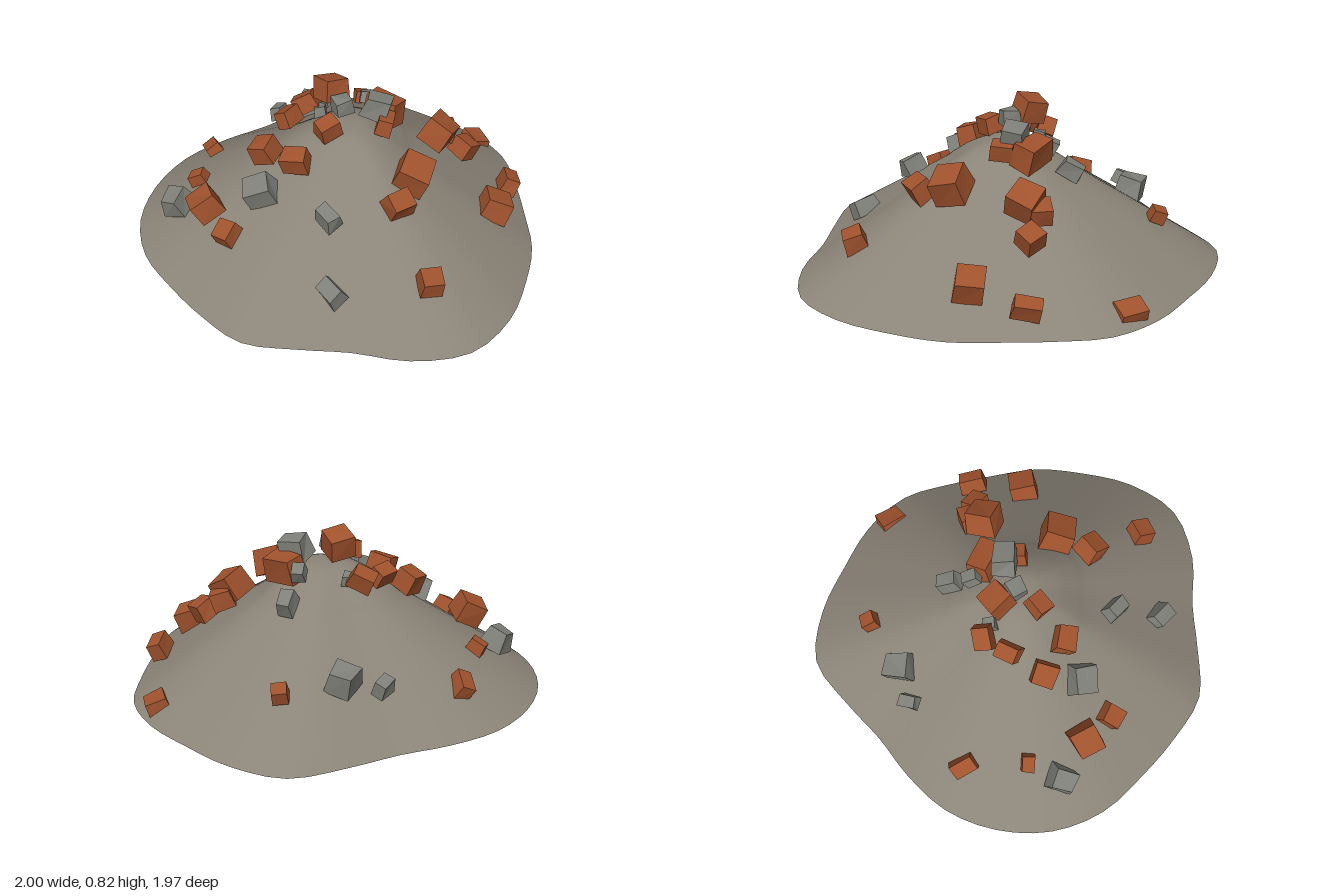
import * as THREE from 'three';

const mat = (name, color, flatShading) => {
  const m = new THREE.MeshStandardMaterial({ color, flatShading });
  m.name = name;
  return m;
};

// Footprint radius every 15 degrees, from the front (+z) round by +x
const RADII = [0.98, 0.925, 0.917, 1.005, 1.07, 1.032, 0.967, 0.932, 0.898, 0.915, 0.972, 0.983,
  0.98, 1.02, 1.044, 0.947, 0.895, 0.93, 0.99, 1.025, 1.04, 1.02, 0.972, 0.963];
// Slope of the heap: fraction of the footprint radius, height
const PROFILE = [[0, 0.64], [0.1, 0.632], [0.2, 0.588], [0.3, 0.52], [0.4, 0.445], [0.8, 0.185], [1, 0.055]];
const BASE_Y = 0.055;

// Rubble: x, y, z, width, depth, yaw in degrees
const BRICKS = [
  [0.32, 0.09, -0.84, 0.14, 0.11, -35],
  [-0.29, 0.29, -0.68, 0.08, 0.08, 40],
  [0.65, 0.18, -0.51, 0.08, 0.14, 28],
  [0.69, 0.24, -0.24, 0.14, 0.14, 30],
  [0.44, 0.4, -0.4, 0.11, 0.11, -15],
  [0.33, 0.48, -0.38, 0.11, 0.11, 40],
  [0.34, 0.52, -0.31, 0.15, 0.15, 3],
  [0.39, 0.53, 0.06, 0.16, 0.16, 12],
  [0.4, 0.48, 0.23, 0.11, 0.13, -30],
  [0.66, 0.27, 0.42, 0.11, 0.11, 42],
  [-0.78, 0.21, 0.02, 0.13, 0.08, -38],
  [-0.67, 0.27, 0.31, 0.09, 0.07, 18],
  [-0.48, 0.34, 0.53, 0.14, 0.14, -38],
  [-0.31, 0.28, 0.6, 0.11, 0.11, -6],
  [-0.31, 0.54, 0.25, 0.12, 0.12, 2],
  [-0.12, 0.57, 0.28, 0.13, 0.1, 14],
  [-0.29, 0.62, 0.06, 0.08, 0.12, -4],
  [-0.27, 0.63, -0.07, 0.12, 0.09, 28],
  [-0.12, 0.77, -0.06, 0.13, 0.13, -30],
  [-0.04, 0.68, 0.12, 0.09, 0.11, -28],
  [0.09, 0.64, -0.2, 0.18, 0.12, -5],
  [0.16, 0.65, -0.08, 0.08, 0.12, 20],
];
const STONES = [
  [-0.46, 0.32, -0.45, 0.14, 0.15, 15],
  [-0.6, 0.29, -0.34, 0.08, 0.11, 5],
  [-0.04, 0.54, -0.34, 0.08, 0.13, 20],
  [-0.02, 0.65, -0.23, 0.07, 0.09, 30],
  [0.1, 0.71, -0.11, 0.14, 0.14, 15],
  [-0.03, 0.74, 0, 0.1, 0.1, -40],
  [-0.19, 0.61, -0.07, 0.07, 0.07, 30],
  [-0.23, 0.44, 0.42, 0.16, 0.14, 28],
  [-0.68, 0.25, 0.49, 0.13, 0.15, 4],
  [0.15, 0.46, 0.45, 0.13, 0.09, -25],
  [0.28, 0.23, 0.66, 0.14, 0.09, -24],
];

// Ring-by-ring slope surface over the footprint
function moundGeometry(rim) {
  const rings = new THREE.SplineCurve(PROFILE.map(p => new THREE.Vector2(...p))).getPoints(28);
  const n = rim.length, pos = [], index = [];
  rings.forEach(({ x: t, y }, r) => {
    for (let i = 0; i < n; i++) {
      pos.push(rim[i].x * t, y, rim[i].z * t);
      if (r === rings.length - 1) continue;
      const a = r * n + i, b = r * n + (i + 1) % n;
      if (r > 0) index.push(a, a + n, b);
      index.push(b, a + n, b + n);
    }
  });
  const geo = new THREE.BufferGeometry();
  geo.setAttribute('position', new THREE.Float32BufferAttribute(pos, 3));
  geo.setIndex(index);
  geo.computeVertexNormals();
  // The summit is level
  for (let i = 0; i < n; i++) geo.attributes.normal.setXYZ(i, 0, 1, 0);
  return geo;
}

const random = k => {
  const s = Math.sin(k * 127.1) * 43758.5453;
  return s - Math.floor(s);
};

// Box with a narrower top and each corner pulled inwards by a seeded amount
function chunkGeometry(w, d, seed, rough) {
  const geo = new THREE.BoxGeometry(w, 0.85 * Math.sqrt(w * d), d);
  const p = geo.attributes.position;
  for (let i = 0; i < p.count; i++) {
    const v = new THREE.Vector3().fromBufferAttribute(p, i);
    const corner = (v.x > 0 ? 1 : 0) + (v.y > 0 ? 2 : 0) + (v.z > 0 ? 4 : 0);
    const pull = axis => 1.04 - rough * random(seed * 30 + axis * 8 + corner);
    const taper = v.y > 0 ? 1 - rough * 0.5 : 1;
    p.setXYZ(i, v.x * taper * pull(0), v.y * pull(1), v.z * taper * pull(2));
  }
  geo.computeVertexNormals();
  return geo;
}

// Chunks lean with the slope they rest on, each with a little wobble
function scatter(name, list, material, rough) {
  const group = new THREE.Group();
  group.name = name + 's';
  list.forEach(([x, y, z, w, d, yaw], i) => {
    const mesh = new THREE.Mesh(chunkGeometry(w, d, i + 1, rough), material);
    mesh.name = name;
    mesh.position.set(x, y, z);
    const reach = Math.hypot(x, z);
    const lean = 0.45 / Math.max(reach, 0.3);
    const wobble = k => (random(i * 2 + k) - 0.5) * 0.4;
    const normal = new THREE.Vector3(x * lean + wobble(3), 1, z * lean + wobble(4)).normalize();
    mesh.quaternion.setFromUnitVectors(new THREE.Vector3(0, 1, 0), normal);
    mesh.rotateY(THREE.MathUtils.degToRad(yaw));
    group.add(mesh);
  });
  return group;
}

export function createModel() {
  const model = new THREE.Group();
  model.name = 'rubbleHeap';
  const dust = mat('dust', 0x8b8478, false);
  const brick = mat('brick', 0xa0522d, true);
  const stone = mat('stone', 0x80807a, true);

  const rim = new THREE.CatmullRomCurve3(RADII.map((r, i) => {
    const a = (i / RADII.length) * Math.PI * 2;
    return new THREE.Vector3(r * Math.sin(a), 0, r * Math.cos(a));
  }), true).getPoints(72).slice(0, -1);

  // Heap
  const mound = new THREE.Mesh(moundGeometry(rim), dust);
  mound.name = 'mound';
  model.add(mound);

  // Flat underside
  const shape = new THREE.Shape(rim.map(v => new THREE.Vector2(v.x, v.z)));
  const base = new THREE.Mesh(new THREE.ShapeGeometry(shape).rotateX(Math.PI / 2), dust);
  base.name = 'underside';
  base.position.y = BASE_Y;
  model.add(base);

  // Debris
  model.add(scatter('brickChunk', BRICKS, brick, 0.16));
  model.add(scatter('stoneChunk', STONES, stone, 0.3));
  return model;
}
